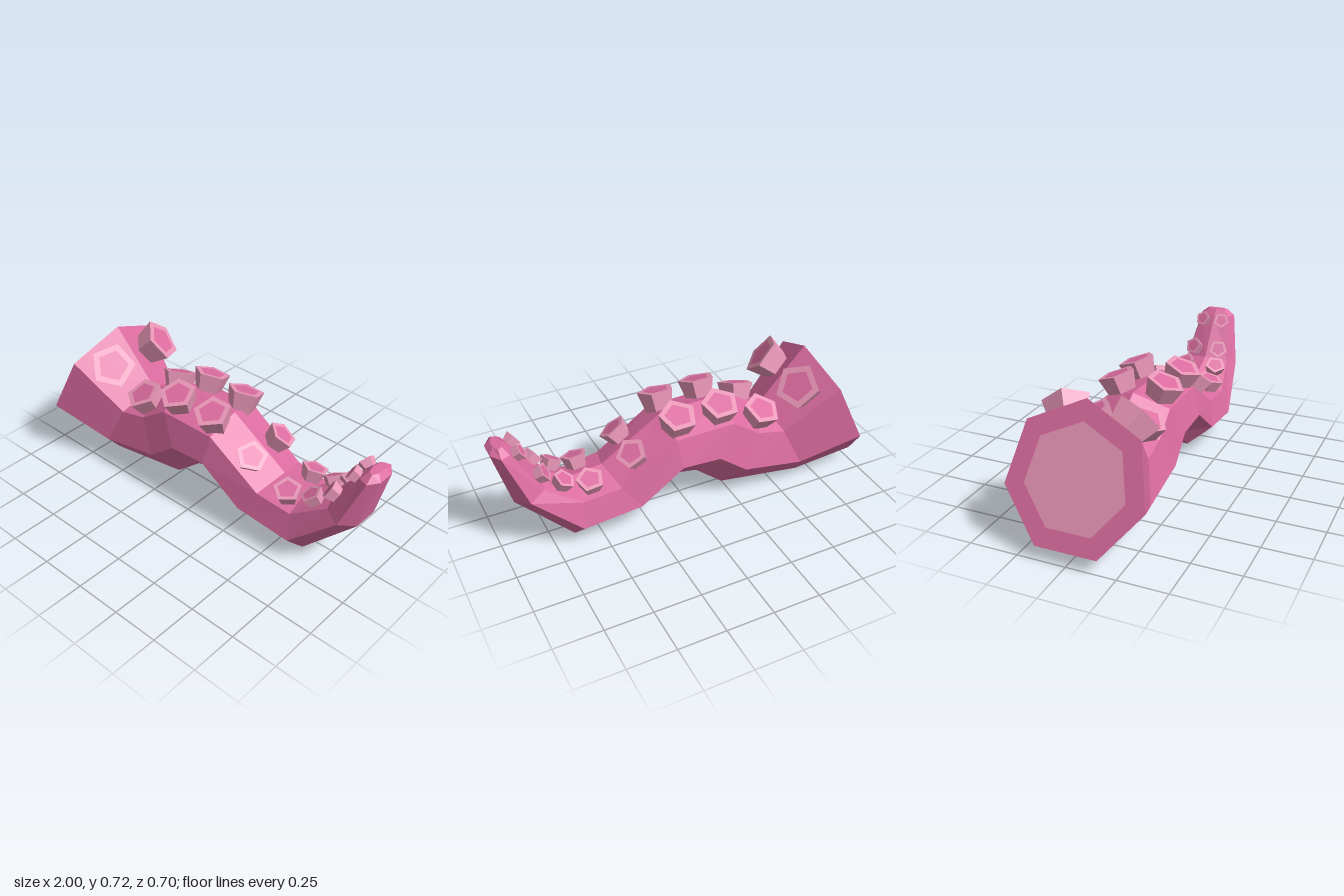
import * as THREE from 'three';

const SIDES = 7;
// Rings along the limb: centre x, centre y, direction of the ridge (x, y), radius along it, radius in z
const RINGS = [
  [-0.877, 0.385, 0.37, 0.928, 0.366, 0.36],
  [-0.587, 0.217, 0.4, 0.916, 0.255, 0.25],
  [-0.304, 0.264, -0.48, 0.877, 0.235, 0.24],
  [-0.154, 0.373, -0.51, 0.86, 0.222, 0.228],
  [0.084, 0.378, 0.11, 0.99, 0.175, 0.225],
  [0.333, 0.2, 0.6, 0.8, 0.173, 0.217],
  [0.613, 0.165, -0.16, 0.987, 0.16, 0.205],
  [0.84, 0.355, -0.9, 0.42, 0.1, 0.158],
  [0.948, 0.605, -1, 0, 0.058, 0.103],
];
// Suckers: base x, radius
const SUCKERS = [
  [-0.665, 0.12], [-0.395, 0.1], [-0.17, 0.1], [0.065, 0.1], [0.285, 0.082],
  [0.535, 0.073], [0.69, 0.06], [0.795, 0.053], [0.885, 0.045],
];

const material = (color) => new THREE.MeshStandardMaterial({ color, flatShading: true });

function ringPoints([cx, cy, dx, dy, r, rz], scale = 1) {
  return Array.from({ length: SIDES }, (_, k) => {
    const a = (k / SIDES) * Math.PI * 2;
    const u = Math.cos(a) * r * scale;
    return new THREE.Vector3(cx + dx * u, cy + dy * u, Math.sin(a) * rz * scale);
  });
}

function fromTriangles(points) {
  const geometry = new THREE.BufferGeometry().setFromPoints(points);
  geometry.computeVertexNormals();
  return geometry;
}

// Skin between successive rings
function loft(rings) {
  const out = [];
  for (let i = 0; i < rings.length - 1; i++) {
    for (let k = 0; k < SIDES; k++) {
      const n = (k + 1) % SIDES;
      const a = rings[i][k], b = rings[i][n], c = rings[i + 1][n], d = rings[i + 1][k];
      out.push(a, b, d, b, c, d);
    }
  }
  return out;
}

// Flat cap over one ring
function fan(ring, flip) {
  const centre = ring.reduce((s, p) => s.add(p), new THREE.Vector3()).divideScalar(SIDES);
  return ring.flatMap((p, k) => {
    const q = ring[(k + 1) % SIDES];
    return flip ? [centre, q, p] : [centre, p, q];
  });
}

// Flared five-sided cup with a pale rim and a pink centre
function makeSucker(radius, skin, pale) {
  const group = new THREE.Group();
  group.name = 'sucker';
  const h = radius * 0.95, sink = radius * 0.25, inner = radius * 0.7;
  const add = (name, geometry, mat) => {
    const mesh = new THREE.Mesh(geometry, mat);
    mesh.name = name;
    group.add(mesh);
  };
  const wall = new THREE.CylinderGeometry(radius, radius * 0.68, h + sink, 5, 1, true);
  add('suckerWall', wall.translate(0, (h - sink) / 2, 0), pale);
  const rim = new THREE.RingGeometry(inner, radius, 5, 1, -Math.PI / 2);
  add('suckerRim', rim.rotateX(-Math.PI / 2).translate(0, h, 0), pale);
  const disc = new THREE.CircleGeometry(inner, 5, -Math.PI / 2);
  add('suckerCentre', disc.rotateX(-Math.PI / 2).translate(0, h, 0), skin);
  return group;
}

export function createModel() {
  const model = new THREE.Group();
  model.name = 'tentacle';
  const skin = material(0xdb6c9f);
  const pale = material(0xe896b6);

  // Limb, from the border of the cut end to the small domed tip
  const rings = RINGS.map((r) => ringPoints(r));
  const cut = ringPoints(RINGS[0], 0.72);
  const tip = ringPoints([0.953, 0.638, -1, 0.1, 0.025, 0.06]);
  const limb = new THREE.Mesh(
    fromTriangles([...loft([cut, ...rings, tip]), ...fan(tip, false)]), skin);
  limb.name = 'limb';
  model.add(limb);

  // Pale flesh in the cut end
  const flesh = new THREE.Mesh(fromTriangles(fan(cut, true)), pale);
  flesh.name = 'cutFlesh';
  model.add(flesh);

  // Two rows of suckers on the upper facets beside the ridge
  const up = new THREE.Vector3(0, 1, 0);
  for (const side of [1, -1]) {
    const line = rings.map((r) => r[0].clone().lerp(r[1], 0.56));
    for (const [x, radius] of SUCKERS) {
      let i = 0;
      while (i < line.length - 2 && line[i + 1].x < x) i++;
      const t = (x - line[i].x) / (line[i + 1].x - line[i].x);
      const position = line[i].clone().lerp(line[i + 1], t);
      const along = line[i + 1].clone().sub(line[i]);
      const across = rings[i][1].clone().sub(rings[i][0])
        .lerp(rings[i + 1][1].clone().sub(rings[i + 1][0]), t);
      const normal = across.cross(along).normalize();
      position.z *= side;
      normal.z *= side;
      const sucker = makeSucker(radius, skin, pale);
      sucker.position.copy(position);
      sucker.quaternion.setFromUnitVectors(up, normal);
      model.add(sucker);
    }
  }
  return model;
}
